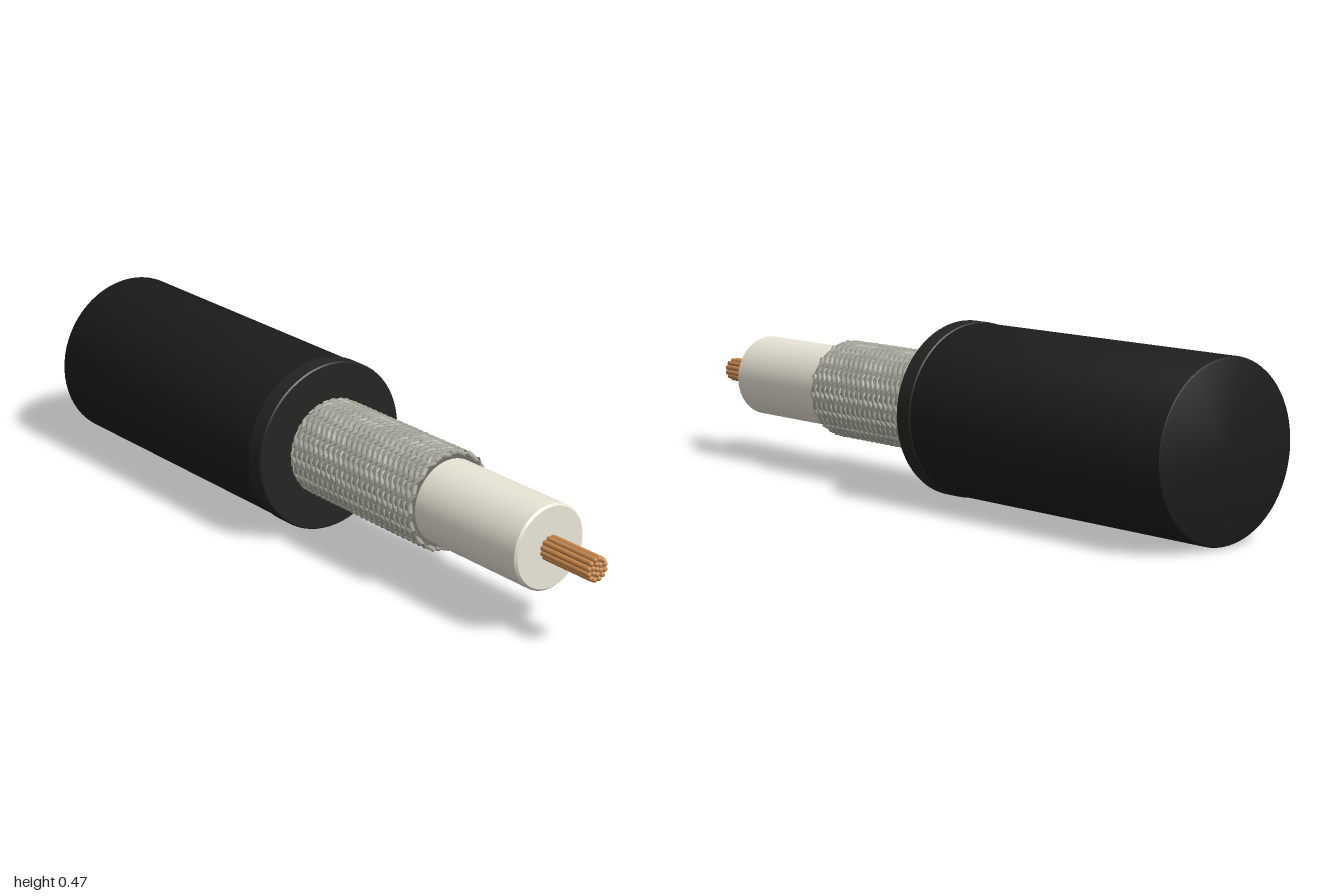
import * as THREE from 'three';
import { toCreasedNormals } from 'three/addons/utils/BufferGeometryUtils.js';

const mat = (color, side = THREE.FrontSide) => new THREE.MeshStandardMaterial({ color, side });

// Solid of revolution around the x axis, from [x, radius] pairs
function turned(name, profile, material) {
  const pts = profile.map(([x, r]) => new THREE.Vector2(r, x));
  const geo = toCreasedNormals(new THREE.LatheGeometry(pts, 64), 0.5);
  geo.rotateZ(-Math.PI / 2);
  const mesh = new THREE.Mesh(geo, material);
  mesh.name = name;
  return mesh;
}

// One braid wire: a helix that weaves over and under the opposite set
function braidWire(phase, dir, count, material) {
  const x0 = -0.05, x1 = 0.455, turns = 1.5, pts = [];
  for (let i = 0; i <= 96; i++) {
    const t = i / 96;
    const spin = t * turns * Math.PI * 2;
    const a = phase + dir * spin;
    const r = 0.1285 + dir * 0.0025 * Math.cos(spin * count);
    pts.push(new THREE.Vector3(x0 + (x1 - x0) * t, r * Math.cos(a), r * Math.sin(a)));
  }
  const curve = new THREE.CatmullRomCurve3(pts);
  const mesh = new THREE.Mesh(new THREE.TubeGeometry(curve, 96, 0.0068, 6), material);
  mesh.name = 'braidWire';
  return mesh;
}

export function createModel() {
  const cable = new THREE.Group();
  cable.name = 'cable';
  const black = mat(0x1c1c1c), rim = mat(0x252422), cream = mat(0xe9e5d6);
  const silver = mat(0xa5a59a, THREE.DoubleSide), copper = mat(0xc4854c);

  // Outer jacket and the slightly raised cut rim
  cable.add(turned('jacket', [
    [-0.99, 0], [-0.99, 0.226], [-0.988, 0.23], [-0.983, 0.2325], [-0.08, 0.2325], [-0.08, 0.13],
  ], black));
  cable.add(turned('jacketRim', [
    [-0.09, 0.13], [-0.09, 0.232], [-0.086, 0.2355], [-0.038, 0.2355],
    [-0.034, 0.232], [-0.034, 0.13],
  ], rim));

  // Braided shield over a thin backing sleeve
  const shield = new THREE.Group();
  shield.name = 'braidedShield';
  shield.add(turned('shieldSleeve', [
    [-0.05, 0.113], [-0.05, 0.1255], [0.452, 0.1255], [0.452, 0.113],
  ], mat(0x6f6f67)));
  const count = 16;
  for (let i = 0; i < count; i++) {
    const phase = (i / count) * Math.PI * 2;
    shield.add(braidWire(phase, 1, count, silver), braidWire(phase, -1, count, silver));
  }
  cable.add(shield);

  // Inner insulation with a small chamfer at the cut end
  cable.add(turned('insulation', [
    [-0.06, 0], [-0.06, 0.1135], [0.824, 0.1135], [0.83, 0.108], [0.83, 0],
  ], cream));

  // Stranded core: one centre wire with rings of 6 and 12
  const core = new THREE.Group();
  core.name = 'core';
  const wireRadius = 0.0072, x0 = 0.78, x1 = 1.0;
  const wireGeo = new THREE.CapsuleGeometry(wireRadius, x1 - x0 - 2 * wireRadius, 5, 14);
  wireGeo.rotateZ(-Math.PI / 2);
  [[1, 0], [6, 0.0138], [12, 0.0268]].forEach(([n, r]) => {
    for (let i = 0; i < n; i++) {
      const a = (i / n) * Math.PI * 2 + r * 10;
      const wire = new THREE.Mesh(wireGeo, copper);
      wire.name = 'coreWire';
      wire.position.set((x0 + x1) / 2, r * Math.cos(a), r * Math.sin(a));
      core.add(wire);
    }
  });
  cable.add(core);

  // The cable lies slightly turned
  cable.rotation.y = -0.0436;
  cable.position.set(0, 0.2355, 0.0215);
  const model = new THREE.Group();
  model.add(cable);
  return model;
}
